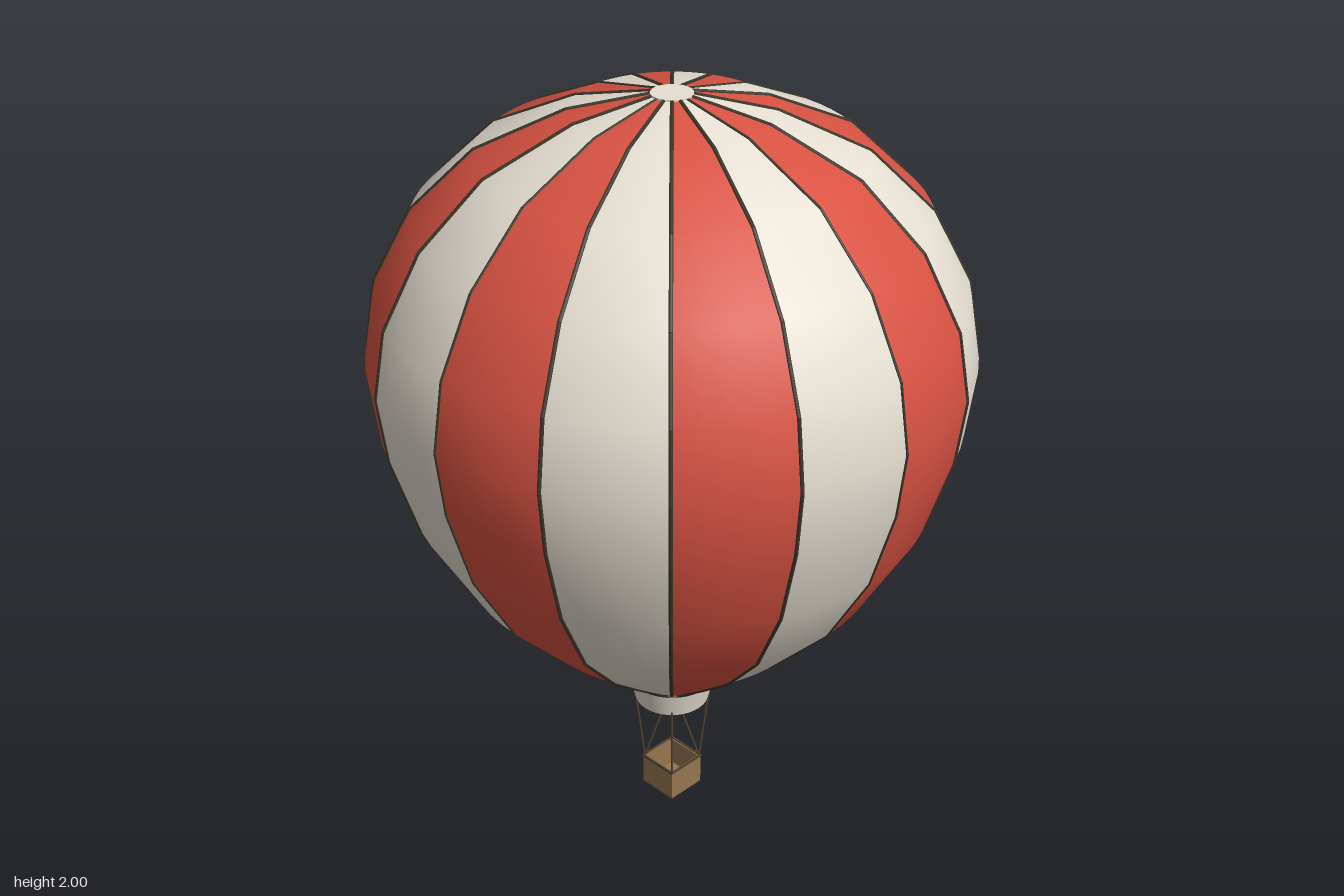
import * as THREE from 'three';
import { mergeGeometries } from 'three/addons/utils/BufferGeometryUtils.js';

const material = (name, color, side = THREE.FrontSide) => {
  const m = new THREE.MeshStandardMaterial({ color, side });
  m.name = name;
  return m;
};

// Straight rod between two points
function rod(a, b, radius) {
  const dir = b.clone().sub(a);
  const g = new THREE.CylinderGeometry(radius, radius, dir.length(), 6);
  g.applyQuaternion(new THREE.Quaternion().setFromUnitVectors(new THREE.Vector3(0, 1, 0), dir.normalize()));
  const mid = a.clone().add(b).multiplyScalar(0.5);
  return g.translate(mid.x, mid.y, mid.z);
}

export function createModel() {
  const group = new THREE.Group();
  const red = material('red fabric', 0xd85242, THREE.DoubleSide);
  const cream = material('cream fabric', 0xe6dfd2, THREE.DoubleSide);
  const cord = material('dark cord', 0x3a3628);
  const rope = material('brown rope', 0x54432f);
  const wicker = material('wicker', 0x967650);
  const metal = material('burner brown', 0x76583c);

  const add = (name, geometry, mat, parent = group) => {
    const mesh = new THREE.Mesh(geometry, mat);
    mesh.name = name;
    parent.add(mesh);
    return mesh;
  };

  // Envelope: sixteen alternating gores, bottom to top
  const profile = [
    [0.1, 0.37], [0.21, 0.46], [0.37, 0.595], [0.53, 0.765], [0.65, 0.975], [0.715, 1.19],
    [0.735, 1.36], [0.705, 1.53], [0.61, 1.71], [0.455, 1.86], [0.24, 1.958], [0.05, 1.996],
  ].map(([r, y]) => new THREE.Vector2(r, y));
  const gores = 16;
  const step = (Math.PI * 2) / gores;
  const envelope = new THREE.Group();
  envelope.name = 'envelope';
  group.add(envelope);
  const seams = [];
  for (let i = 0; i < gores; i++) {
    add('gore', new THREE.LatheGeometry(profile, 4, i * step, step), i % 2 ? cream : red, envelope);
    // Seam cord along the edge of each gore, finer on the four main axes
    const path = profile.map(p => new THREE.Vector3(p.x * Math.sin(i * step), p.y, p.x * Math.cos(i * step)));
    const radius = i % 4 ? 0.005 : 0.0035;
    for (let j = 1; j < path.length; j++) seams.push(rod(path[j - 1], path[j], radius));
  }
  add('seamCords', mergeGeometries(seams), cord, envelope);

  // Crown cap and mouth skirt
  add('crownCap', new THREE.CylinderGeometry(0.05, 0.05, 0.008, 32), cream).position.y = 1.996;
  add('skirt', new THREE.CylinderGeometry(0.115, 0.098, 0.07, 48, 1, true), cream).position.y = 0.338;

  // Burner
  add('burner', new THREE.CylinderGeometry(0.008, 0.026, 0.045, 16), metal).position.y = 0.28;
  add('burnerBase', new THREE.CylinderGeometry(0.026, 0.02, 0.012, 16), metal).position.y = 0.252;

  // Basket: floor, four walls and rim
  const basket = new THREE.Group();
  basket.name = 'basket';
  group.add(basket);
  add('floor', new THREE.BoxGeometry(0.11, 0.008, 0.11), wicker, basket).position.y = 0.004;
  for (let i = 0; i < 4; i++) {
    const side = new THREE.Group();
    side.name = 'basketSide';
    side.rotation.y = i * Math.PI / 2;
    basket.add(side);
    add('wall', new THREE.BoxGeometry(0.11, 0.088, 0.006), wicker, side).position.set(0, 0.044, 0.052);
    add('rim', new THREE.BoxGeometry(0.114, 0.006, 0.005), rope, side).position.set(0, 0.088, 0.0545);
  }

  // Suspension ropes and burner struts at each corner
  const lines = [];
  for (const x of [-1, 1]) for (const z of [-1, 1]) {
    const corner = new THREE.Vector3(x * 0.052, 0.088, z * 0.052);
    lines.push(rod(corner, new THREE.Vector3(x * 0.07, 0.315, z * 0.07), 0.003));
    lines.push(rod(corner, new THREE.Vector3(x * 0.013, 0.265, z * 0.013), 0.003));
  }
  add('suspensionRopes', mergeGeometries(lines), rope);

  return group;
}
